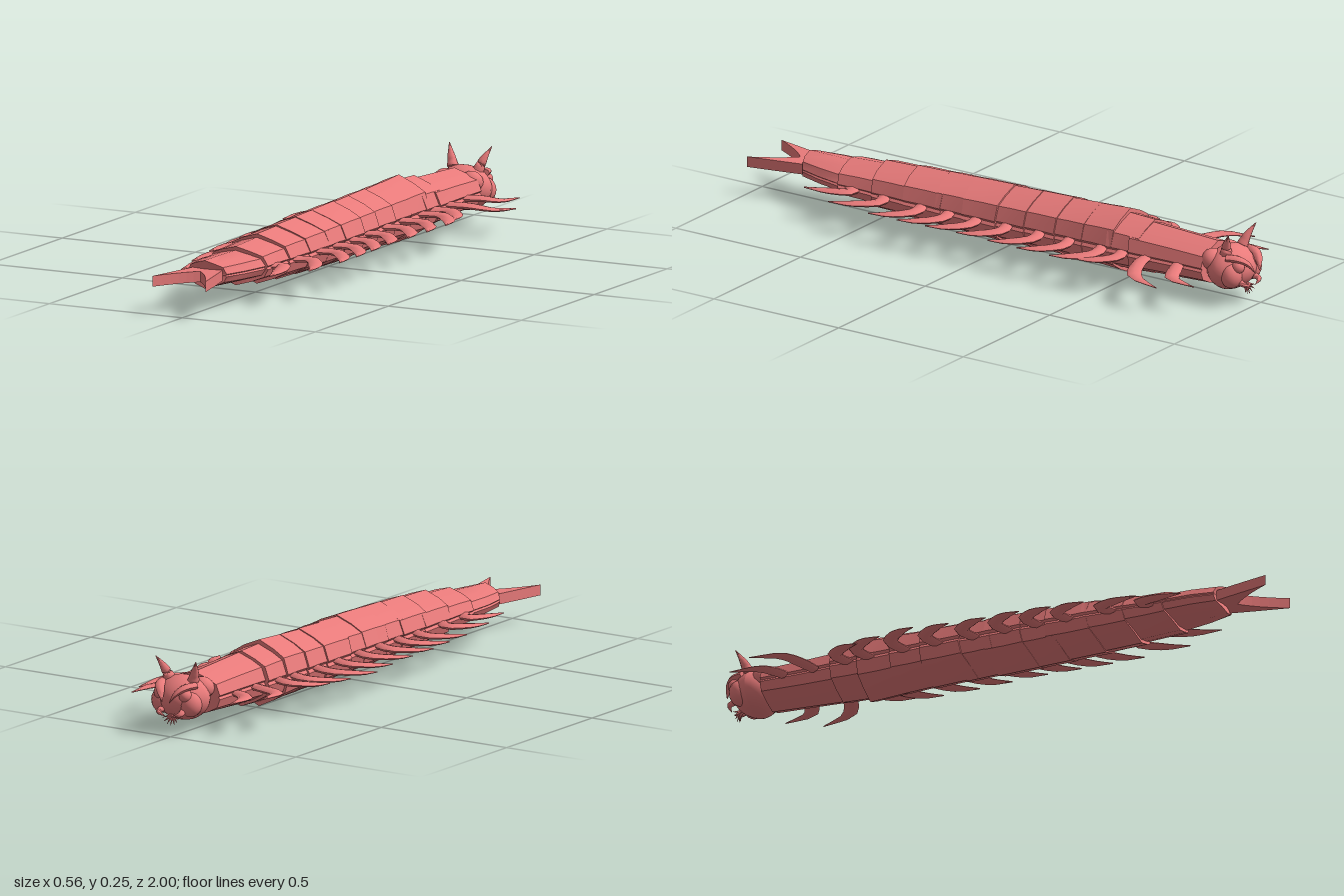
import * as THREE from 'three';
import { toCreasedNormals } from 'three/addons/utils/BufferGeometryUtils.js';

const material = new THREE.MeshStandardMaterial({ color: 0xe87a7a, side: THREE.DoubleSide });
const V = (x, y, z) => new THREE.Vector3(x, y, z);

// Skins a list of equal-sized rings of points and closes both ends.
function loft(rings, crease = 0.5) {
  const n = rings[0].length, pos = [];
  const tri = (a, b, c) => pos.push(...a.toArray(), ...b.toArray(), ...c.toArray());
  for (let i = 0; i < rings.length - 1; i++) {
    for (let j = 0; j < n; j++) {
      const k = (j + 1) % n, a = rings[i], b = rings[i + 1];
      tri(a[j], a[k], b[k]);
      tri(a[j], b[k], b[j]);
    }
  }
  const first = rings[0], last = rings[rings.length - 1];
  const mid = (r) => r.reduce((s, p) => s.add(p), V(0, 0, 0)).divideScalar(n);
  const m0 = mid(first), m1 = mid(last);
  for (let j = 0; j < n; j++) {
    const k = (j + 1) % n;
    tri(m0, first[k], first[j]);
    tri(m1, last[j], last[k]);
  }
  // Turn the faces outward if the signed volume is negative.
  let volume = 0;
  const P = (i) => V(pos[i], pos[i + 1], pos[i + 2]);
  for (let i = 0; i < pos.length; i += 9) volume += P(i).dot(P(i + 3).cross(P(i + 6)));
  if (volume < 0) {
    for (let i = 0; i < pos.length; i += 9) {
      for (let c = 0; c < 3; c++) [pos[i + 3 + c], pos[i + 6 + c]] = [pos[i + 6 + c], pos[i + 3 + c]];
    }
  }
  const geo = new THREE.BufferGeometry();
  geo.setAttribute('position', new THREE.Float32BufferAttribute(pos, 3));
  geo.computeVertexNormals();
  return toCreasedNormals(geo, crease);
}

function add(parent, name, geometry) {
  const mesh = new THREE.Mesh(geometry, material);
  mesh.name = name;
  parent.add(mesh);
  return mesh;
}

// Keeled body section, as fractions of half width and half height.
const half = [[0, 1], [0.5, 0.78], [0.85, 0.56], [1, 0.08], [0.94, 0], [1, -0.1], [0.88, -0.5], [0.5, -0.76], [0, -1]];
const section = [...half, ...half.slice(1, -1).reverse().map(([x, y]) => [-x, y])];
const bodyRing = (z, cx, w, h, scallop) =>
  section.map(([x, y]) => V(cx + x * w, 0.115 + y * h, z + scallop * (1 - x * x)));

// Tapered, curved tube with an elliptical section: flat blade or round spike.
function spike(points, widths, heights, sides = 8, steps = 8) {
  const curve = new THREE.CatmullRomCurve3(points);
  const sample = (list, t) => {
    const f = t * (list.length - 1), i = Math.min(Math.floor(f), list.length - 2);
    return THREE.MathUtils.lerp(list[i], list[i + 1], f - i);
  };
  const rings = [];
  for (let i = 0; i <= steps; i++) {
    const t = i / steps, p = curve.getPoint(t), d = curve.getTangent(t);
    const up = Math.abs(d.y) > 0.9 ? V(0, 0, 1) : V(0, 1, 0);
    const side = d.clone().cross(up).normalize(), top = side.clone().cross(d);
    rings.push(Array.from({ length: sides }, (_, j) => {
      const a = (j / sides) * Math.PI * 2;
      return p.clone().addScaledVector(side, Math.cos(a) * sample(widths, t))
        .addScaledVector(top, Math.sin(a) * sample(heights, t));
    }));
  }
  return loft(rings, 0.9);
}

export function createModel() {
  const model = new THREE.Group();
  model.name = 'centipede';

  // Body plates: front z, back z, centre x, half widths and half heights (front, back)
  const plates = [
    [-0.84, -0.55, 0.014, 0.102, 0.108, 0.075, 0.09],
    [-0.58, -0.46, 0.005, 0.112, 0.115, 0.094, 0.1],
    [-0.48, -0.34, 0.002, 0.117, 0.114, 0.113, 0.104],
    [-0.36, -0.23, 0, 0.118, 0.115, 0.107, 0.1],
    [-0.25, -0.11, 0, 0.12, 0.118, 0.105, 0.1],
    [-0.13, 0, 0.005, 0.117, 0.118, 0.103, 0.098],
    [-0.02, 0.11, 0.008, 0.121, 0.122, 0.104, 0.1],
    [0.09, 0.22, 0.008, 0.12, 0.12, 0.1, 0.097],
    [0.2, 0.35, 0.007, 0.122, 0.12, 0.095, 0.092],
    [0.33, 0.48, 0.006, 0.12, 0.116, 0.088, 0.084],
    [0.46, 0.62, 0.004, 0.114, 0.11, 0.073, 0.065],
  ];
  const body = new THREE.Group();
  body.name = 'body';
  model.add(body);
  plates.forEach(([z0, z1, cx, w0, w1, h0, h1]) => add(body, 'bodyPlate', loft([
    bodyRing(z0, cx, w0, h0, 0),
    bodyRing((z0 + z1) / 2, cx, (w0 + w1) / 2 - 0.003, (h0 + h1) / 2, 0.008),
    bodyRing(z1, cx, w1, h1, 0.02),
  ])));
  add(body, 'tailPlate', loft([
    bodyRing(0.6, 0.004, 0.106, 0.052, 0), bodyRing(0.72, -0.008, 0.092, 0.05, 0),
    bodyRing(0.8, -0.015, 0.072, 0.047, 0.02),
  ]));

  // Forked tail, a flat extruded V
  const fork = new THREE.Shape();
  fork.moveTo(-0.06, 0.77);
  fork.lineTo(0.035, 0.77);
  fork.quadraticCurveTo(0.06, 0.87, 0.087, 1);
  fork.quadraticCurveTo(0.035, 0.9, -0.012, 0.855);
  fork.quadraticCurveTo(-0.06, 0.9, -0.112, 1);
  fork.quadraticCurveTo(-0.085, 0.87, -0.06, 0.77);
  const forkGeo = new THREE.ExtrudeGeometry(fork, { depth: 0.036, bevelEnabled: false, curveSegments: 6 });
  forkGeo.rotateX(Math.PI / 2).translate(0, 0.132, 0);
  add(model, 'tailFork', forkGeo);

  // Legs: tip x on the left, tip x on the right, tip z, sweep length
  const legs = [
    [0.24, -0.24, -0.42, 0.11], [0.26, -0.26, -0.33, 0.12], [0.26, -0.28, -0.2, 0.12],
    [0.255, -0.26, -0.08, 0.12], [0.25, -0.25, 0.05, 0.12], [0.255, -0.25, 0.17, 0.12],
    [0.26, -0.24, 0.28, 0.12], [0.26, -0.23, 0.395, 0.125], [0.24, -0.2, 0.57, 0.15],
    [0.17, -0.16, 0.715, 0.16],
  ];
  const leg = (name, tx, tz, sweep, elbow, tipY) => {
    const bx = Math.sign(tx) * 0.095, at = (f) => bx + f * (tx - bx);
    add(model, name, spike([
      V(bx, 0.112, tz - sweep * 0.85), V(at(0.48), 0.112, tz - sweep * elbow),
      V(at(0.85), (0.112 + tipY) / 2, tz - sweep * 0.55), V(tx, tipY, tz),
    ], [0.02, 0.025, 0.024, 0.001], [0.012, 0.011, 0.007, 0.002]));
  };
  legs.forEach(([left, right, z, sweep]) => {
    leg('leftLeg', left, z, sweep, 1.02, 0.107);
    leg('rightLeg', right, z, sweep, 1.02, 0.1);
  });
  // Two front pairs sweep forward
  leg('leftFrontLeg', 0.23, -0.89, -0.18, 0.7, 0.1);
  leg('rightFrontLeg', -0.175, -0.91, -0.19, 0.75, 0.118);
  leg('leftFrontLeg', 0.28, -0.775, -0.19, 0.75, 0.088);
  leg('rightFrontLeg', -0.24, -0.81, -0.2, 0.75, 0.124);

  // Head: rounded skull narrowing to the face
  const head = new THREE.Group();
  head.name = 'head';
  head.position.set(0.02, 0.115, -0.9);
  model.add(head);
  const skull = new THREE.SphereGeometry(1, 24, 16);
  const p = skull.attributes.position;
  for (let i = 0; i < p.count; i++) {
    const z = p.getZ(i), narrow = z < 0 ? 1 + 0.12 * z : 1;
    p.setXYZ(i, p.getX(i) * 0.098 * narrow, p.getY(i) * 0.076 * narrow, z * 0.078);
  }
  skull.computeVertexNormals();
  add(head, 'skull', skull);

  for (const s of [-1, 1]) {
    const ball = (name, r, x, y, z, sx = 1, sy = 1, sz = 1) => {
      const mesh = add(head, name, new THREE.SphereGeometry(r, 14, 10));
      mesh.position.set(s * x, y, z);
      mesh.scale.set(sx, sy, sz);
    };
    ball('cheek', 0.04, 0.055, -0.01, -0.035, 1, 1.1, 0.9);
    ball('eye', 0.022, 0.05, 0.022, -0.058);
    ball('neckLobe', 0.04, 0.05, 0.03, 0.045, 1, 0.9, 0.9);
    // Horn curving up and outward
    add(head, 'horn', spike([V(s * 0.045, 0.055, -0.005), V(s * 0.06, 0.095, -0.018), V(s * 0.08, 0.137, -0.04)],
      [0.022, 0.014, 0.001], [0.022, 0.014, 0.001]));
    // Brow ridge hooking down over the face
    add(head, 'brow', spike([V(s * 0.065, 0.05, -0.02), V(s * 0.05, 0.048, -0.06), V(s * 0.03, 0.03, -0.085), V(s * 0.014, 0, -0.1)],
      [0.015, 0.017, 0.013, 0.001], [0.012, 0.012, 0.009, 0.001]));
    // Mandible curving in below the mouth
    add(head, 'mandible', spike([V(s * 0.04, -0.03, -0.05), V(s * 0.042, -0.04, -0.078), V(s * 0.012, -0.05, -0.085)],
      [0.012, 0.009, 0.001], [0.012, 0.009, 0.001]));
  }
  // Fan of small mouth feelers
  for (let i = 0; i < 7; i++) {
    const a = Math.PI * (1.05 + 0.15 * i), x = Math.cos(a), y = Math.sin(a);
    add(head, 'feeler', spike([V(0, -0.045, -0.045), V(x * 0.014, -0.052 + y * 0.012, -0.062), V(x * 0.032, -0.055 + y * 0.028, -0.07)],
      [0.006, 0.004, 0.0005], [0.006, 0.004, 0.0005], 5, 4));
  }
  return model;
}
